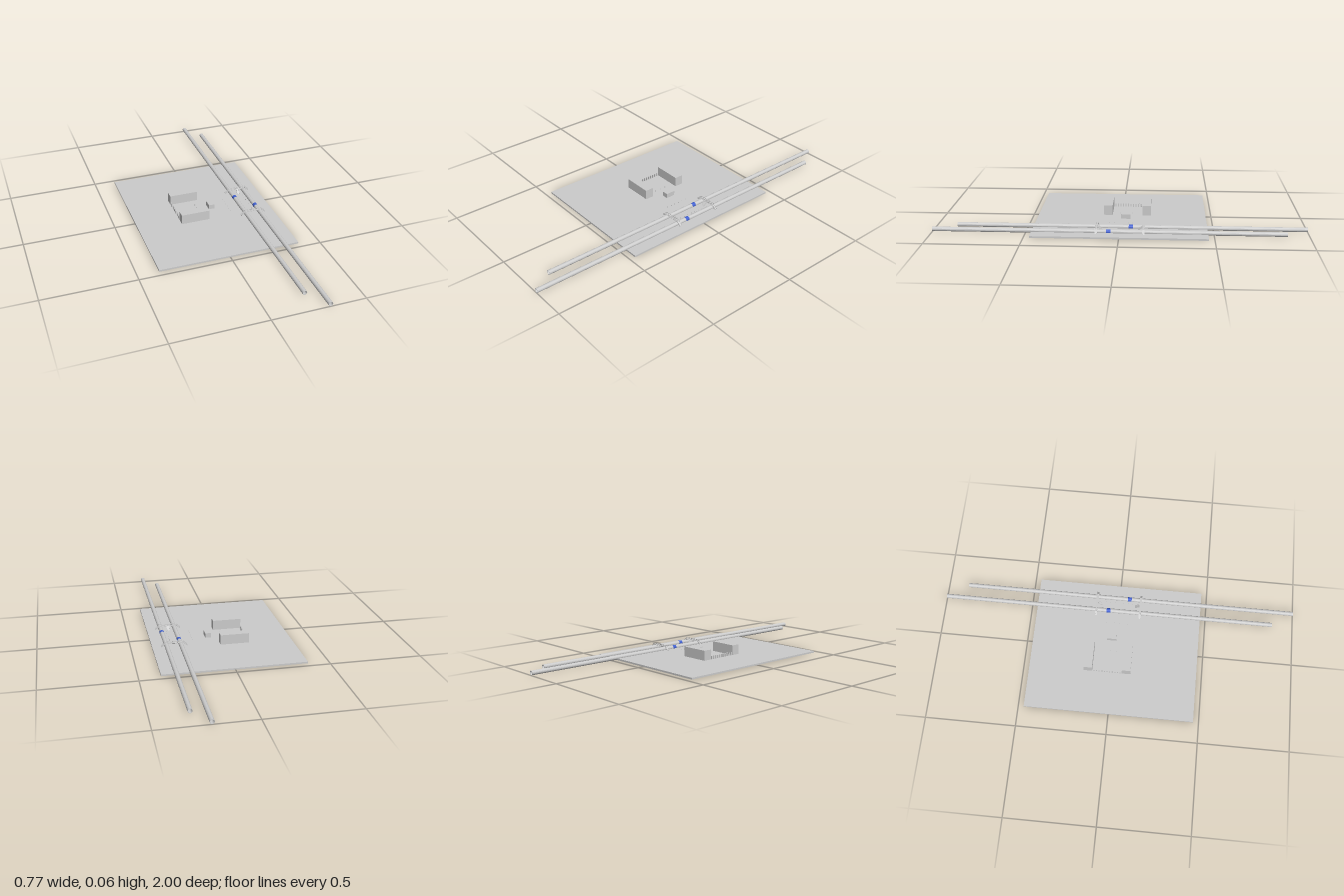
import * as THREE from 'three';

const grey = new THREE.MeshStandardMaterial({ color: 0xcccccc });
const blue = new THREE.MeshStandardMaterial({ color: 0x4060d0 });
const GROUND = 0.009;

function add(parent, name, geometry, x, y, z, material = grey) {
  const mesh = new THREE.Mesh(geometry, material);
  mesh.name = name;
  mesh.position.set(x, y, z);
  parent.add(mesh);
  return mesh;
}

// Box standing on the given base height
function block(parent, name, w, h, d, x, z, base = GROUND) {
  return add(parent, name, new THREE.BoxGeometry(w, h, d), x, base + h / 2, z);
}

// Square bar between two points
function bar(parent, name, a, b, w, h) {
  const from = new THREE.Vector3(...a), to = new THREE.Vector3(...b);
  const mesh = add(parent, name, new THREE.BoxGeometry(w, h, from.distanceTo(to)), 0, 0, 0);
  mesh.position.copy(from).add(to).multiplyScalar(0.5);
  mesh.lookAt(to);
  return mesh;
}

// Open-ended pipe along z, with an outer wall, inner wall and end rims
function pipe(parent, name, outer, inner, length, x, y, z, material) {
  const shape = new THREE.Shape().absarc(0, 0, outer, 0, Math.PI * 2);
  shape.holes.push(new THREE.Path().absarc(0, 0, inner, 0, Math.PI * 2, true));
  const geometry = new THREE.ExtrudeGeometry(shape, { depth: length, bevelEnabled: false, curveSegments: 16 });
  geometry.translate(0, 0, -length / 2);
  return add(parent, name, geometry, x, y, z, material);
}

function postRow(parent, name, x, z0, z1, count, height, width) {
  const row = new THREE.Group();
  row.name = name;
  for (let i = 0; i < count; i++) {
    block(row, 'post', width, height, width, x, z0 + (z1 - z0) * i / (count - 1));
  }
  parent.add(row);
}

// Footbridge crossing both pipes, with side stairs and a middle stair
function footbridge(z, inward) {
  const g = new THREE.Group();
  g.name = 'footbridge';
  const cx = 0.266, halfTop = 0.05, halfFoot = 0.071, deckY = 0.028, rail = 0.007;
  const width = 0.011;
  block(g, 'deck', halfTop * 2, 0.002, width, cx, z, deckY - 0.002);
  for (const side of [-1, 1]) {
    const zr = z + side * width / 2;
    bar(g, 'deckRail', [cx - halfTop, deckY + rail, zr], [cx + halfTop, deckY + rail, zr], 0.0018, 0.0018);
    for (let i = 0; i <= 6; i++) {
      block(g, 'railPost', 0.0012, rail, 0.0012, cx - halfTop + halfTop * i / 3, zr, deckY);
    }
    const top = cx + side * halfTop, foot = cx + side * halfFoot;
    bar(g, 'stairFlight', [top, deckY - 0.001, z], [foot, GROUND, z], width, 0.003);
    for (const s of [-1, 1]) {
      const zs = z + s * width / 2;
      bar(g, 'stairRail', [top, deckY + rail, zs], [foot, GROUND + rail, zs], 0.0018, 0.0018);
      block(g, 'stairPost', 0.0012, rail, 0.0012, foot, zs);
    }
    // Middle stair rails
    const xr = cx + side * 0.007, z0 = z + inward * width / 2, z1 = z + inward * 0.03;
    bar(g, 'middleRail', [xr, deckY + rail, z0], [xr, GROUND + rail, z1], 0.0018, 0.0018);
    block(g, 'middlePost', 0.0012, rail, 0.0012, xr, z1);
  }
  bar(g, 'middleStair', [cx, deckY - 0.001, z + inward * width / 2], [cx, GROUND, z + inward * 0.03], 0.014, 0.003);
  return g;
}

export function createModel() {
  const model = new THREE.Group();
  model.name = 'station';

  block(model, 'ground', 0.772, GROUND, 0.938, 0, 0, 0);

  // Buildings with a colonnade and a forecourt
  for (const z of [-0.138, 0.077]) block(model, 'building', 0.16, 0.055, 0.048, -0.065, z);
  block(model, 'kiosk', 0.032, 0.026, 0.054, 0.063, -0.023);
  postRow(model, 'colonnade', -0.142, -0.104, 0.044, 11, 0.018, 0.006);
  postRow(model, 'forecourtPosts', -0.015, -0.06, 0.01, 3, 0.006, 0.003);

  // Two offset pipes, each with a coloured band
  for (const [x, z, bandZ] of [[0.228, -0.059, -0.058], [0.308, 0.059, 0.058]]) {
    pipe(model, 'pipe', 0.012, 0.0104, 1.882, x, 0.0135, z, grey);
    pipe(model, 'band', 0.0124, 0.0118, 0.022, x, 0.0135, bandZ, blue);
  }

  // Platform posts and footbridges
  postRow(model, 'platformPosts', 0.155, -0.065, 0.06, 6, 0.006, 0.002);
  postRow(model, 'middlePosts', 0.281, -0.075, 0.075, 7, 0.006, 0.002);
  model.add(footbridge(-0.128, 1), footbridge(0.123, -1));

  return model;
}
